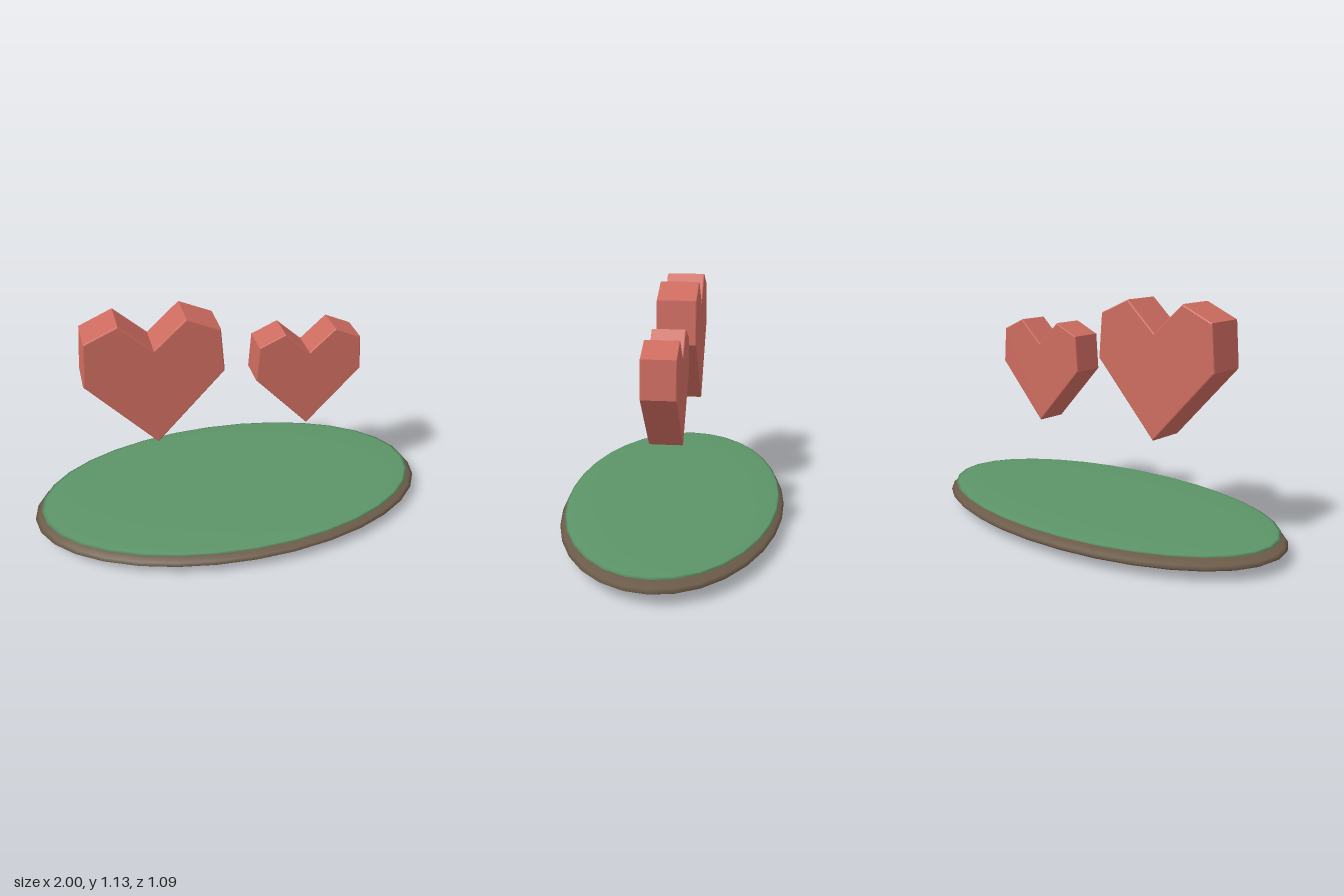
import * as THREE from 'three';

// Flattened ellipsoid used for the ground layers
function disc(name, color, y, rx, ry, rz) {
  const geometry = new THREE.SphereGeometry(1, 32, 16);
  geometry.scale(rx, ry, rz);
  const mesh = new THREE.Mesh(geometry, new THREE.MeshStandardMaterial({ color }));
  mesh.name = name;
  mesh.position.y = y;
  return mesh;
}

// Faceted heart with its notch at the local origin, finely bevelled
function heartGeometry() {
  const half = [[0.327, -0.145], [0.31, 0.07], [0.153, 0.14]];
  const mirrored = half.map(([x, y]) => [-x, y]).reverse();
  const outline = [[0, -0.495], ...half, [0, 0], ...mirrored];
  const shape = new THREE.Shape(outline.map(([x, y]) => new THREE.Vector2(x, y)));
  const depth = 0.196, bevel = 0.006;
  const geometry = new THREE.ExtrudeGeometry(shape, {
    depth: depth - 2 * bevel,
    bevelEnabled: true,
    bevelSize: bevel,
    bevelThickness: bevel,
    bevelOffset: -bevel,
    bevelSegments: 2,
  });
  geometry.translate(0, 0, bevel - depth / 2);
  return geometry;
}

export function createModel() {
  const model = new THREE.Group();
  model.name = 'floatingHearts';

  // Earth base with a thin grass layer on top
  model.add(disc('earthBase', 0x6b5a48, 0.06, 1, 0.06, 0.545));
  model.add(disc('grassTop', 0x5c9468, 0.104, 0.965, 0.018, 0.523));

  // Two hearts hovering above the ground
  const geometry = heartGeometry();
  const material = new THREE.MeshStandardMaterial({ color: 0xcd6b5f });
  for (const [name, x, y, scale] of [
    ['largeHeart', -0.375, 0.992, 1],
    ['smallHeart', 0.371, 0.871, 0.8],
  ]) {
    const heart = new THREE.Mesh(geometry, material);
    heart.name = name;
    heart.position.set(x, y, 0.002);
    heart.scale.setScalar(scale);
    model.add(heart);
  }
  return model;
}
